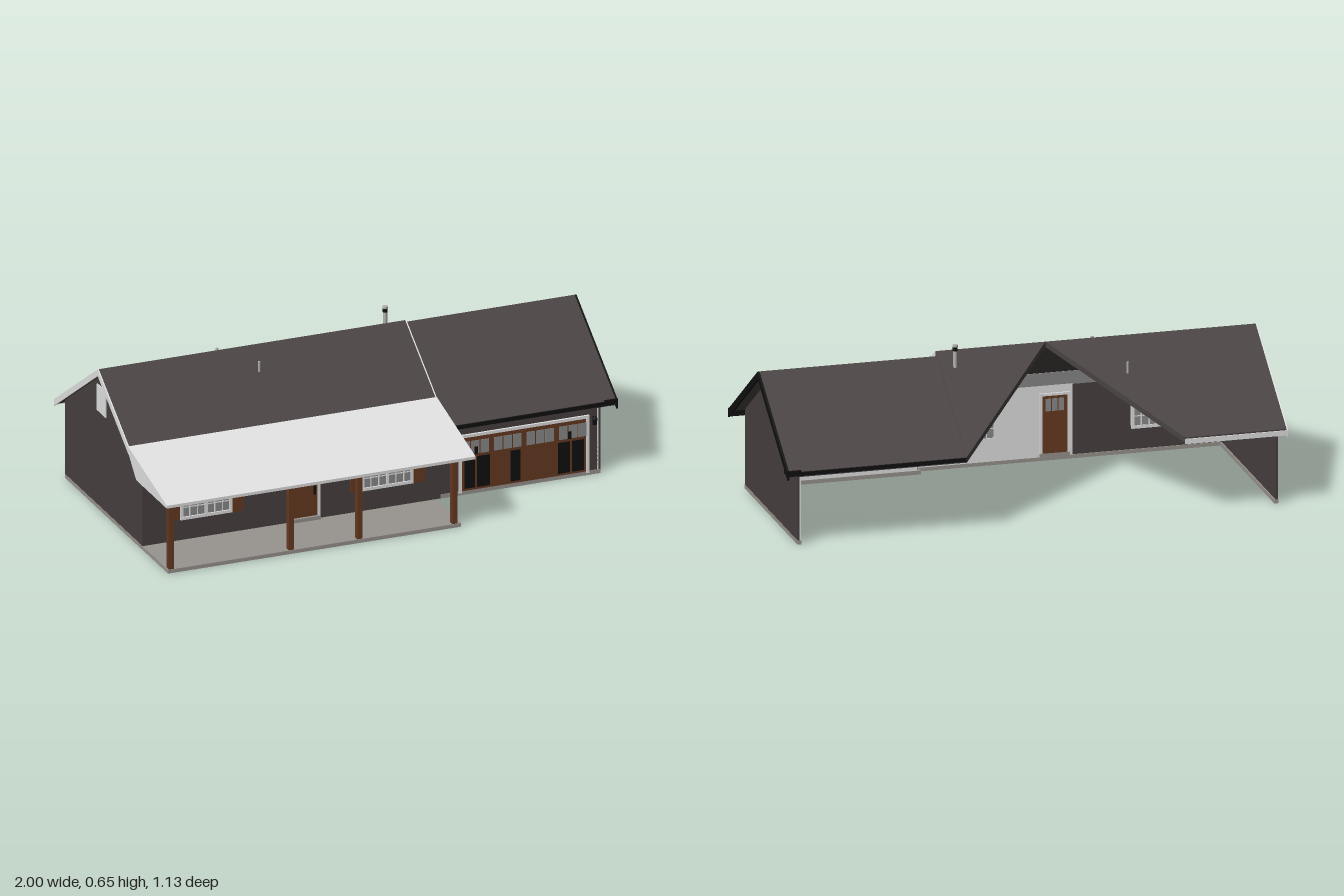
import * as THREE from 'three';

const mat = (name, color) => Object.assign(new THREE.MeshStandardMaterial({ color }), { name });

export function createModel() {
  const charcoal = mat('charcoal siding', 0x484040);
  const shingle = mat('roof shingle', 0x4a4343);
  const black = mat('black trim', 0x101010);
  const white = mat('white trim', 0xe2e2e2);
  const wood = mat('brown wood', 0x673a22);
  const glass = mat('grey glass', 0x8c8c8c);
  const concrete = mat('concrete', 0x98948f);
  const metal = mat('vent metal', 0xb4b2ae);

  const house = new THREE.Group();
  house.name = 'house';

  const add = (name, geo, material, parent = house) => {
    const m = new THREE.Mesh(geo, material);
    m.name = name;
    parent.add(m);
    return m;
  };
  const box = (name, material, x0, x1, y0, y1, z0, z1, parent) => {
    const m = add(name, new THREE.BoxGeometry(x1 - x0, y1 - y0, z1 - z0), material, parent);
    m.position.set((x0 + x1) / 2, (y0 + y1) / 2, (z0 + z1) / 2);
    return m;
  };
  const shapeOf = (pts) => new THREE.Shape(pts.map(([a, b]) => new THREE.Vector2(a, b)));
  const group = (name) => {
    const g = new THREE.Group();
    g.name = name;
    house.add(g);
    return g;
  };

  // Profile given as (z, y), extruded along x
  const alongX = (name, material, pts, x0, x1) => {
    const geo = new THREE.ExtrudeGeometry(shapeOf(pts), { depth: x1 - x0, bevelEnabled: false });
    geo.rotateY(-Math.PI / 2).translate(x1, 0, 0);
    return add(name, geo, material);
  };

  // Sloped slab: plan outline (x, z) dropped onto a height rule
  const slope = (name, material, pts, height, t = 0.022) => {
    const geo = new THREE.ExtrudeGeometry(shapeOf(pts), { depth: t, bevelEnabled: false });
    const p = geo.attributes.position;
    for (let i = 0; i < p.count; i++) {
      const x = p.getX(i), z = p.getY(i), d = p.getZ(i);
      p.setXYZ(i, x, height(z) - d, z);
    }
    geo.computeVertexNormals();
    return add(name, geo, material);
  };
  const rect = (x0, x1, z0, z1) => [[x0, z0], [x1, z0], [x1, z1], [x0, z1]];

  // Roof heights
  const mainY = (z) => 0.605 - (z > -0.13 ? (z + 0.13) * 0.67 : (-0.13 - z) * 0.67);
  const garageY = (z) => 0.59 - Math.abs(z + 0.147) * 0.67;

  // Main roof, with the open valley at the back
  slope('mainRoofFront', shingle, rect(-0.995, 0.28, -0.13, 0.175), mainY);
  slope('mainRoofBackLeft', shingle, [[-0.155, -0.13], [0.285, -0.13], [0.285, -0.57]], mainY);
  slope('mainRoofBackRight', shingle, [[-0.995, -0.13], [-0.155, -0.13], [-0.59, -0.565], [-0.995, -0.565]], mainY);
  slope('mainBargeboard', white, rect(-1, -0.995, -0.57, -0.13), mainY, 0.028);
  for (const x of [-1, 0.28]) slope('mainBargeboard', white, rect(x, x + 0.005, -0.13, 0.18), mainY, 0.028);
  box('mainBackFascia', white, -0.995, -0.59, 0.288, 0.308, -0.57, -0.565);

  // Garage roof
  slope('garageRoofFront', shingle, rect(0.285, 0.992, -0.147, 0.267), garageY);
  slope('garageRoofBack', shingle, rect(0.285, 0.992, -0.565, -0.147), garageY);
  slope('garageBargeboard', black, rect(0.992, 1, -0.147, 0.272), garageY, 0.032);
  slope('garageBargeboard', black, rect(0.992, 1, -0.566, -0.147), garageY, 0.032);
  box('garageFrontFascia', black, 0.285, 1, 0.295, 0.311, 0.267, 0.272);
  box('garageFrontSoffit', black, 0.285, 1, 0.295, 0.3, 0.225, 0.267);
  box('garageBackFascia', black, 0.285, 1, 0.293, 0.308, -0.57, -0.565);
  box('garageEaveReturn', black, 0.945, 1, 0.295, 0.316, 0.225, 0.27);
  box('garageEaveReturn', black, 0.945, 1, 0.293, 0.314, -0.57, -0.515);

  // Porch roof, slab and posts
  alongX('porchRoof', white,
    [[0.565, 0.305], [0.175, 0.402], [0.175, 0.378], [0.25, 0.3], [0.26, 0.293], [0.565, 0.293]], -1, 0.285);
  box('porchSlab', concrete, -0.975, 0.245, 0, 0.015, 0.248, 0.517);
  for (const x of [-0.96, -0.46, -0.175, 0.22])
    box('porchPost', wood, x - 0.011, x + 0.011, 0.015, 0.294, 0.492, 0.514);

  // Outer walls: gable ends and fronts, open at the back
  const garageGable = [[0.225, 0.015], [0.225, 0.322], [-0.147, 0.57], [-0.515, 0.324], [-0.515, 0.015]];
  alongX('garageSideWall', charcoal, garageGable, 0.937, 0.945);
  alongX('garageSideLining', white, garageGable, 0.932, 0.937);
  alongX('mainSideWall', charcoal,
    [[0.26, 0.015], [0.26, 0.33], [-0.13, 0.585], [-0.515, 0.327], [-0.515, 0.015]], -0.975, -0.965);
  box('mainFrontWall', charcoal, -0.975, 0.265, 0.015, 0.31, 0.252, 0.26);
  box('mainFrontLining', white, -0.37, 0.255, 0.015, 0.31, 0.247, 0.252);
  box('garageFrontWall', charcoal, 0.255, 0.945, 0.015, 0.318, 0.217, 0.225);
  box('garageFrontLining', white, 0.26, 0.937, 0.015, 0.316, 0.212, 0.217);
  box('cornerWall', charcoal, 0.257, 0.265, 0.015, 0.318, 0.217, 0.26);

  // Foundation strips under the walls
  box('garageSideFooting', concrete, 0.93, 0.946, 0, 0.016, -0.516, 0.226);
  box('mainSideFooting', concrete, -0.976, -0.96, 0, 0.016, -0.516, 0.25);
  box('garageFrontFooting', concrete, 0.245, 0.945, 0, 0.016, 0.21, 0.228);

  // Gable windows
  for (const [x, s] of [[0.945, 1], [-0.975, -1]]) {
    const a = x - 0.018 * (s + 1) / 2 - 0.004, b = a + 0.026;
    box('gableWindowFrame', white, a, b, 0.41, 0.52, -0.19, -0.102);
  }

  // Double front windows with shutters
  for (const c of [-0.712, 0.043]) {
    const g = group('frontWindow');
    box('pane', glass, c - 0.1, c + 0.1, 0.11, 0.265, 0.244, 0.263, g);
    box('header', white, c - 0.11, c + 0.11, 0.262, 0.276, 0.24, 0.27, g);
    box('sill', white, c - 0.107, c + 0.107, 0.1, 0.112, 0.24, 0.269, g);
    for (const x of [-0.102, 0, 0.102])
      box('jamb', white, c + x - 0.006, c + x + 0.006, 0.11, 0.265, 0.241, 0.267, g);
    for (const x of [-0.068, -0.036, 0.036, 0.068])
      box('muntin', white, c + x - 0.002, c + x + 0.002, 0.11, 0.265, 0.243, 0.265, g);
    for (const y of [0.15, 0.188, 0.226])
      box('rail', white, c - 0.1, c + 0.1, y - 0.002, y + 0.002, 0.243, 0.265, g);
    for (const s of [-1, 1])
      box('shutter', wood, c + s * 0.132 - 0.022, c + s * 0.132 + 0.022, 0.1, 0.272, 0.26, 0.267, g);
  }

  // Front door
  const door = group('frontDoor');
  box('leaf', wood, -0.35, -0.248, 0.03, 0.262, 0.243, 0.264, door);
  for (const x of [-0.355, -0.243]) box('jamb', white, x - 0.005, x + 0.005, 0.03, 0.272, 0.24, 0.268, door);
  box('head', white, -0.36, -0.238, 0.262, 0.272, 0.24, 0.268, door);
  box('step', concrete, -0.36, -0.238, 0.015, 0.03, 0.245, 0.275, door);
  for (let i = 0; i < 3; i++)
    box('lite', glass, -0.335 + i * 0.026, -0.313 + i * 0.026, 0.2, 0.25, 0.241, 0.266, door);
  box('handle', black, -0.265, -0.257, 0.12, 0.155, 0.264, 0.272, door);

  // Garage door
  const gd = group('garageDoor');
  box('leaf', wood, 0.365, 0.885, 0.016, 0.238, 0.224, 0.229, gd);
  for (const x of [0.36, 0.89]) box('jamb', white, x - 0.006, x + 0.006, 0.01, 0.25, 0.222, 0.234, gd);
  box('head', white, 0.354, 0.896, 0.238, 0.25, 0.222, 0.234, gd);
  for (let i = 0; i < 4; i++)
    for (let j = 0; j < 3; j++) {
      const x = 0.366 + i * 0.135 + j * 0.039;
      box('lite', glass, x, x + 0.035, 0.165, 0.22, 0.21, 0.231, gd);
    }
  for (const [a, b] of [[0.377, 0.42], [0.43, 0.484], [0.57, 0.61], [0.767, 0.816], [0.826, 0.874]])
    box('panel', black, a, b, 0.025, 0.153, 0.228, 0.231, gd);
  for (const x of [0.425, 0.815]) box('handle', black, x - 0.006, x + 0.006, 0.165, 0.195, 0.229, 0.235, gd);

  // Wall lanterns beside the garage door
  for (const x of [0.332, 0.918]) {
    const l = group('lantern');
    box('backplate', black, x - 0.006, x + 0.006, 0.205, 0.24, 0.225, 0.229, l);
    const body = add('body', new THREE.CylinderGeometry(0.009, 0.006, 0.026, 6), black, l);
    body.position.set(x, 0.222, 0.238);
    const cap = add('cap', new THREE.ConeGeometry(0.011, 0.012, 6), black, l);
    cap.position.set(x, 0.241, 0.238);
  }

  // Roof pipes and flue
  const pipe = (name, material, x, z, y0, y1, r) => {
    add(name, new THREE.CylinderGeometry(r, r, y1 - y0, 16), material).position.set(x, (y0 + y1) / 2, z);
  };
  pipe('ventPipe', metal, -0.37, -0.028, 0.52, 0.577, 0.005);
  pipe('ventPipe', metal, -0.44, -0.282, 0.48, 0.545, 0.005);
  pipe('flue', metal, 0.225, -0.198, 0.53, 0.625, 0.008);
  pipe('flueBand', black, 0.225, -0.198, 0.622, 0.638, 0.0095);
  pipe('flueCap', metal, 0.225, -0.198, 0.638, 0.646, 0.011);

  return house;
}
